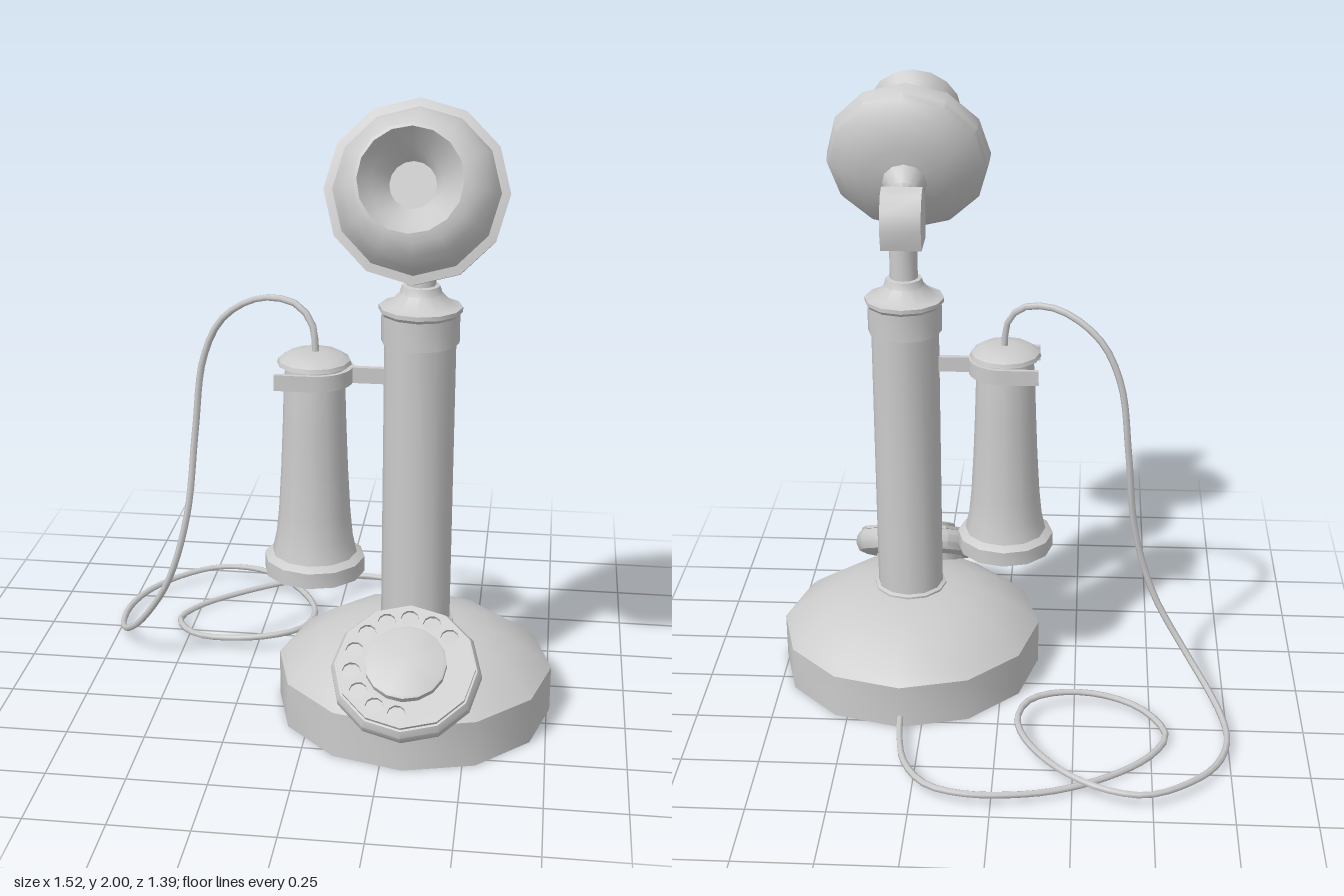
import * as THREE from 'three';
import { toCreasedNormals } from 'three/addons/utils/BufferGeometryUtils.js';

const SIDES = 12;
const material = new THREE.MeshStandardMaterial({ color: 0xcccccc, side: THREE.DoubleSide });

function addMesh(parent, name, geometry, x = 0, y = 0, z = 0) {
  const mesh = new THREE.Mesh(geometry, material);
  mesh.name = name;
  mesh.position.set(x, y, z);
  parent.add(mesh);
  return mesh;
}

// Turned part from [radius, height] pairs, low to high.
function turned(profile, sides = SIDES) {
  const points = profile.map(([r, h]) => new THREE.Vector2(r, h));
  return toCreasedNormals(new THREE.LatheGeometry(points, sides), 0.6);
}

function shapeOf(points) {
  return new THREE.Shape(points.map(([x, y]) => new THREE.Vector2(x, y)));
}

export function createModel() {
  const model = new THREE.Group();
  model.name = 'candlestickTelephone';
  const cx = 0.32, cz = 0.155;

  // Hollow domed base
  addMesh(model, 'base', turned([
    [0.44, 0], [0.44, 0.15], [0.41, 0.178], [0.32, 0.24], [0.24, 0.273], [0.15, 0.296], [0.1, 0.3],
  ]), cx, 0, cz);

  // Column with collar and thin neck
  addMesh(model, 'column', turned([
    [0.122, 0.285], [0.122, 0.305], [0.11, 0.31], [0.11, 1.23], [0.12, 1.23], [0.12, 1.32], [0.128, 1.33],
    [0.128, 1.343], [0.1, 1.35], [0.065, 1.385], [0.058, 1.408], [0.045, 1.41], [0.045, 1.54],
  ]), cx, 0, cz);

  // Rounded pivot block under the transmitter
  const block = new THREE.ExtrudeGeometry(shapeOf([
    [-0.068, 1.52], [0.068, 1.52], [0.085, 1.59], [0.075, 1.64],
    [0.04, 1.69], [0, 1.708], [-0.04, 1.69], [-0.075, 1.64], [-0.085, 1.59],
  ]), { depth: 0.13, bevelEnabled: false });
  block.translate(0, 0, -0.065).rotateY(-Math.PI / 2);
  addMesh(model, 'pivot', toCreasedNormals(block, 0.6), cx, 0, cz);

  // Transmitter head with flared mouthpiece, tilted upward
  const head = new THREE.Group();
  head.name = 'transmitter';
  head.position.set(cx, 1.75, 0.397);
  head.rotation.x = THREE.MathUtils.degToRad(70);
  model.add(head);
  addMesh(head, 'transmitterBody', turned([
    [0, -0.25], [0.045, -0.22], [0.072, -0.165], [0.12, -0.155], [0.165, -0.14], [0.215, -0.11],
    [0.25, -0.075], [0.262, -0.055], [0.266, 0], [0.24, 0.006], [0.225, 0.045],
    [0.197, 0.085], [0.16, 0.115], [0.11, 0.128], [0, 0.128],
  ]));
  addMesh(head, 'mouthpiece', turned([
    [0.11, 0.115], [0.108, 0.14], [0.118, 0.18], [0.135, 0.215], [0.155, 0.242],
    [0.146, 0.245], [0.115, 0.2], [0.085, 0.165], [0.066, 0.135], [0, 0.135],
  ], 16));

  // Rotary dial resting on the base
  const dial = new THREE.Group();
  dial.name = 'dial';
  dial.position.set(cx, 0.312, 0.51);
  dial.rotation.x = 0.571;
  model.add(dial);
  addMesh(dial, 'dialBody', turned([
    [0, -0.16], [0.155, -0.16], [0.155, -0.09], [0.19, -0.092], [0.218, -0.08],
    [0.23, -0.055], [0.23, -0.03], [0.218, -0.01], [0.2, -0.008], [0, -0.008],
  ]));
  const ring = (n, r) => Array.from({ length: n }, (_, i) => {
    const a = i / n * Math.PI * 2;
    return [r * Math.cos(a), r * Math.sin(a)];
  });
  const plate = shapeOf(ring(SIDES, 0.212));
  for (let i = 0; i < 10; i++) {
    const a = THREE.MathUtils.degToRad(40 + i * 25);
    const hole = new THREE.Path();
    hole.absarc(0.165 * Math.cos(a), 0.165 * Math.sin(a), 0.028, 0, Math.PI * 2, true);
    plate.holes.push(hole);
  }
  const plateGeometry = new THREE.ExtrudeGeometry(plate, { depth: 0.01, bevelEnabled: false, curveSegments: 5 });
  plateGeometry.rotateX(-Math.PI / 2);
  addMesh(dial, 'fingerPlate', plateGeometry, 0, -0.008, 0);
  addMesh(dial, 'dialCentre', turned([[0.125, 0], [0.125, 0.022], [0.118, 0.026], [0, 0.026]], 16));

  // Receiver hanging in the hook
  addMesh(model, 'receiver', turned([
    [0, 0.47], [0.1, 0.47], [0.145, 0.45], [0.16, 0.455], [0.16, 0.505], [0.15, 0.512], [0.135, 0.52],
    [0.122, 0.58], [0.114, 0.66], [0.106, 0.8], [0.1, 0.95], [0.096, 1.08], [0.09, 1.145],
    [0.116, 1.147], [0.112, 1.16], [0.085, 1.178], [0.04, 1.184], [0, 1.185],
  ]), -0.005, 0, cz);

  // Forked hook: U-shaped band open toward the outside, plus its arm
  const fork = new THREE.Shape();
  fork.moveTo(-0.115, -0.115);
  fork.lineTo(0, -0.115);
  fork.absarc(0, 0, 0.115, -Math.PI / 2, Math.PI / 2, false);
  fork.lineTo(-0.115, 0.115);
  fork.lineTo(-0.115, 0.1);
  fork.lineTo(0, 0.1);
  fork.absarc(0, 0, 0.1, Math.PI / 2, -Math.PI / 2, true);
  fork.lineTo(-0.115, -0.1);
  const forkGeometry = new THREE.ExtrudeGeometry(fork, { depth: 0.05, bevelEnabled: false, curveSegments: 8 });
  forkGeometry.rotateX(-Math.PI / 2);
  addMesh(model, 'hookFork', toCreasedNormals(forkGeometry, 0.6), 0, 1.09, cz);
  addMesh(model, 'hookArm', new THREE.BoxGeometry(0.13, 0.05, 0.02), 0.17, 1.115, cz);

  // Cord: out of the base, one loop on the table, then up to the receiver
  const path = [
    [0.32, 0.035, -0.25], [0.31, 0.035, -0.385], [0.28, 0.035, -0.53], [0.2, 0.04, -0.65],
    [0.085, 0.04, -0.69], [-0.05, 0.035, -0.684], [-0.2, 0.025, -0.64], [-0.38, 0.015, -0.534],
    [-0.5, 0.013, -0.42], [-0.55, 0.015, -0.31], [-0.51, 0.02, -0.215], [-0.44, 0.03, -0.154],
    [-0.32, 0.045, -0.122], [-0.2, 0.055, -0.135], [-0.105, 0.06, -0.19], [-0.068, 0.06, -0.29],
    [-0.085, 0.06, -0.39], [-0.16, 0.06, -0.52], [-0.26, 0.06, -0.62], [-0.37, 0.055, -0.674],
    [-0.48, 0.048, -0.68], [-0.6, 0.04, -0.61], [-0.7, 0.03, -0.494], [-0.745, 0.025, -0.35],
    [-0.735, 0.03, -0.21], [-0.69, 0.07, -0.1], [-0.62, 0.15, -0.01], [-0.51, 0.33, 0.053],
    [-0.44, 0.57, 0.055], [-0.41, 0.86, 0.03], [-0.38, 1.1, 0.03], [-0.32, 1.235, 0.045],
    [-0.23, 1.31, 0.075], [-0.14, 1.337, 0.105], [-0.055, 1.32, 0.13], [-0.01, 1.26, 0.147],
    [-0.002, 1.17, 0.152],
  ];
  const curve = new THREE.CatmullRomCurve3(path.map((p) => new THREE.Vector3(...p)));
  addMesh(model, 'cord', new THREE.TubeGeometry(curve, 110, 0.011, 6));

  return model;
}
